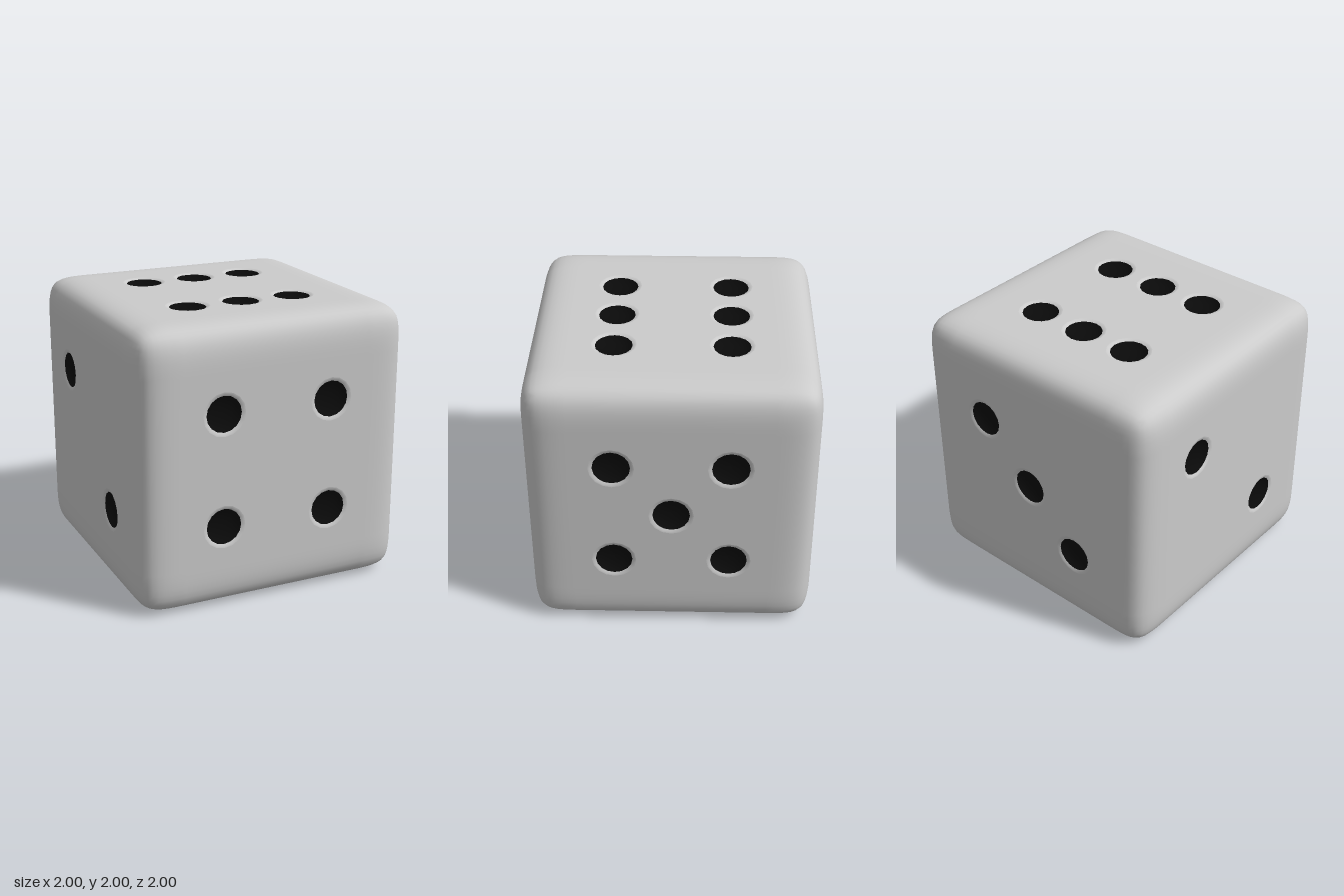
import * as THREE from 'three';
import { mergeGeometries, mergeVertices } from 'three/addons/utils/BufferGeometryUtils.js';

const BEVEL = 0.32;      // width of the soft edge
const STEPS = 6;         // segments across the soft edge
const PIP_R = 0.128, LIP_R = 0.155, P = 0.4, SIDES = 16;

// Each side is modelled facing +z, then turned into place
const FACES = [
  { name: 'front', rot: [0, 0, 0], pips: [[-P, P], [P, P], [-P, -P], [P, -P]] },
  { name: 'left', rot: [0, Math.PI / 2, 0], pips: [[-P, P], [P, P], [0, 0], [-P, -P], [P, -P]] },
  { name: 'back', rot: [0, Math.PI, 0], pips: [[-P, P], [0, 0], [P, -P]] },
  { name: 'right', rot: [0, -Math.PI / 2, 0], pips: [[-P, P], [P, -P]] },
  { name: 'top', rot: [-Math.PI / 2, 0, 0], pips: [[-P, P], [0, P], [P, P], [-P, -P], [0, -P], [P, -P]] },
  { name: 'bottom', rot: [Math.PI / 2, 0, 0], pips: [[0, 0]] },
];

// Pull a point of the cube's face inward along a spline-shaped rounded edge
function roundedPoint(u, v) {
  const cube = (s) => Math.max(0, (Math.abs(s) - 1 + BEVEL) / BEVEL) ** 3;
  const a = cube(u), b = cube(v), k = BEVEL / 6;
  return [
    u - Math.sign(u) * k * a * (1 + 0.5 * b),
    v - Math.sign(v) * k * b * (1 + 0.5 * a),
    1 - k * (a + b - 0.5 * a * b),
  ];
}

// Rounded frame around one face, leaving the flat middle open
function frameGeometry() {
  const lines = [];
  for (let i = 0; i <= STEPS; i++) lines.push(-1 + (BEVEL * i) / STEPS);
  for (let i = STEPS; i >= 0; i--) lines.push(1 - (BEVEL * i) / STEPS);
  const n = lines.length, pos = [], index = [];
  for (const v of lines) for (const u of lines) pos.push(...roundedPoint(u, v));
  for (let j = 0; j < n - 1; j++) {
    for (let i = 0; i < n - 1; i++) {
      if (i === STEPS && j === STEPS) continue;
      const a = j * n + i, b = a + 1, c = a + n + 1, d = a + n;
      index.push(a, b, c, a, c, d);
    }
  }
  const g = new THREE.BufferGeometry();
  g.setAttribute('position', new THREE.Float32BufferAttribute(pos, 3));
  g.setIndex(index);
  return g;
}

// Flat middle of a face with round openings for the pips
function plateGeometry(pips) {
  const e = 1 - BEVEL;
  const shape = new THREE.Shape([[-e, -e], [e, -e], [e, e], [-e, e]].map((p) => new THREE.Vector2(...p)));
  for (const [x, y] of pips) {
    shape.holes.push(new THREE.Path().absarc(x, y, LIP_R, 0, Math.PI * 2, true));
  }
  const g = new THREE.ShapeGeometry(shape, SIDES / 2);
  g.deleteAttribute('uv');
  g.deleteAttribute('normal');
  return g.translate(0, 0, 1);
}

const lathe = (points) =>
  new THREE.LatheGeometry(points.map((p) => new THREE.Vector2(...p)), SIDES).rotateX(Math.PI / 2);

export function createModel() {
  const die = new THREE.Group();
  die.name = 'die';
  const grey = new THREE.MeshStandardMaterial({ color: 0xcccccc });
  const black = new THREE.MeshStandardMaterial({ color: 0x0a0a0a });

  // Softened lip and shallow bowl shared by all pips
  const lipGeo = lathe([[LIP_R, 0], [0.142, -0.002], [PIP_R, -0.01]]);
  const bowlGeo = lathe([[PIP_R, -0.01], [0.11, -0.032], [0.08, -0.048], [0.04, -0.057], [0, -0.06]]);

  const parts = [];
  for (const { name, rot, pips } of FACES) {
    const turn = new THREE.Matrix4().makeRotationFromEuler(new THREE.Euler(...rot));
    parts.push(frameGeometry().applyMatrix4(turn), plateGeometry(pips).applyMatrix4(turn));

    const group = new THREE.Group();
    group.name = `${name}Pips`;
    group.rotation.set(...rot);
    group.position.y = 1;
    for (const [x, y] of pips) {
      const lip = new THREE.Mesh(lipGeo, grey);
      lip.name = 'pipLip';
      const bowl = new THREE.Mesh(bowlGeo, black);
      bowl.name = 'pip';
      for (const m of [lip, bowl]) {
        m.position.set(x, y, 1);
        group.add(m);
      }
    }
    die.add(group);
  }

  // One welded body so the shading flows over the edges
  const bodyGeo = mergeVertices(mergeGeometries(parts), 1e-4);
  bodyGeo.computeVertexNormals();
  const body = new THREE.Mesh(bodyGeo, grey);
  body.name = 'body';
  body.position.y = 1;
  die.add(body);
  return die;
}
